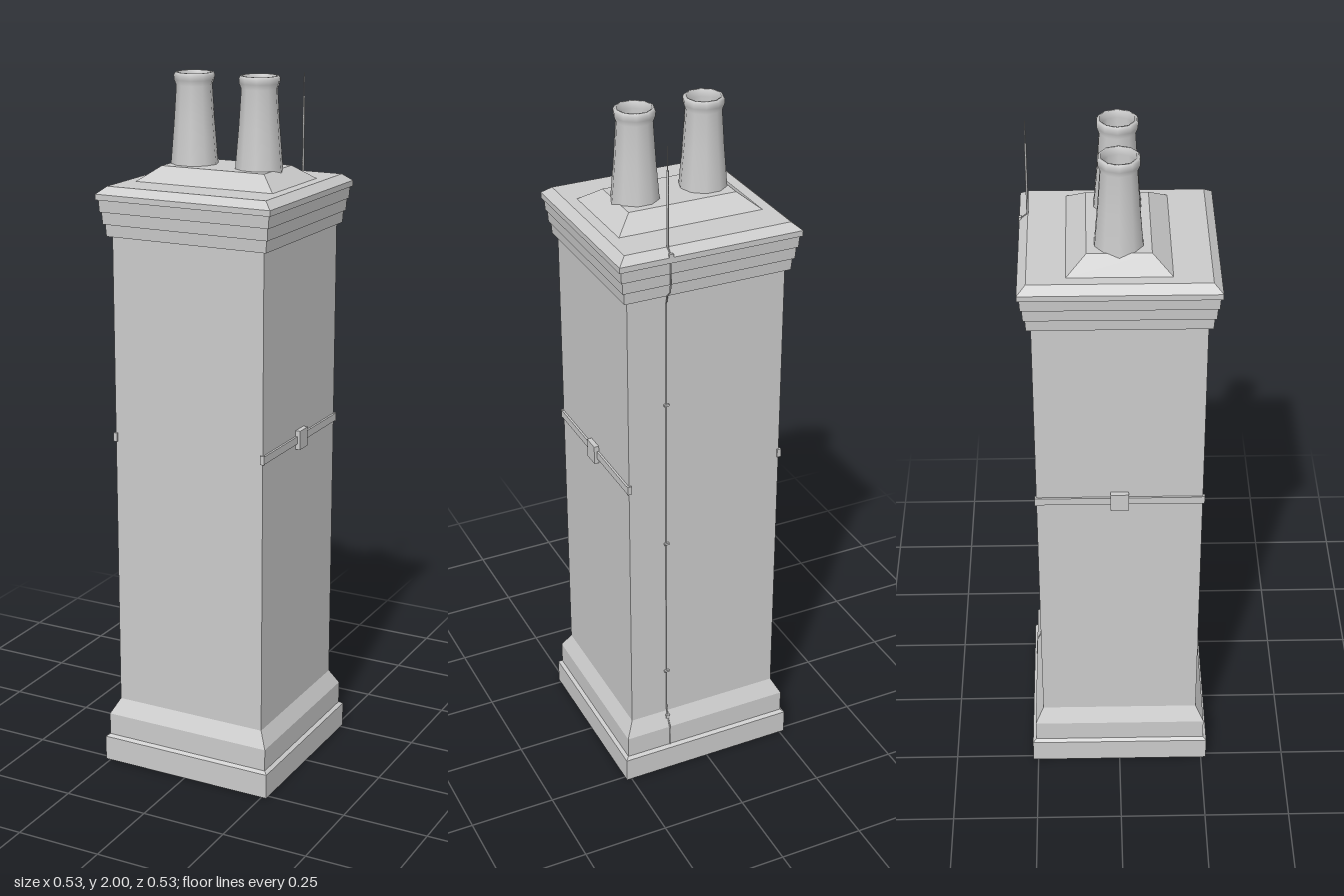
import * as THREE from 'three';

const stone = new THREE.MeshStandardMaterial({ color: 0xcccccc, flatShading: true, side: THREE.DoubleSide });
const clay = new THREE.MeshStandardMaterial({ color: 0xcccccc, side: THREE.DoubleSide });

const vectors = (pts) => pts.map(([r, y]) => new THREE.Vector2(r, y));

// Square shell from a [half width, y] profile
function squareShell(name, profile) {
  const pts = vectors(profile.map(([h, y]) => [h * Math.SQRT2, y]));
  const geo = new THREE.LatheGeometry(pts, 4).rotateY(Math.PI / 4).toNonIndexed();
  geo.computeVertexNormals();
  const mesh = new THREE.Mesh(geo, stone);
  mesh.name = name;
  return mesh;
}

function box(name, w, h, d, x, y, z) {
  const mesh = new THREE.Mesh(new THREE.BoxGeometry(w, h, d), stone);
  mesh.name = name;
  mesh.position.set(x, y, z);
  return mesh;
}

function rod(name, path, radius) {
  const curve = new THREE.CurvePath();
  const pts = path.map((p) => new THREE.Vector3(...p));
  for (let i = 1; i < pts.length; i++) curve.add(new THREE.LineCurve3(pts[i - 1], pts[i]));
  const mesh = new THREE.Mesh(new THREE.TubeGeometry(curve, 48, radius, 6), clay);
  mesh.name = name;
  return mesh;
}

export function createModel() {
  const model = new THREE.Group();
  model.name = 'chimney';

  // Hollow base, shaft and stepped cornice
  model.add(squareShell('base', [
    [0.265, 0], [0.265, 0.073], [0.255, 0.08], [0.255, 0.145], [0.231, 0.19],
  ]));
  model.add(squareShell('shaft', [[0.231, 0.19], [0.231, 1.572]]));
  model.add(squareShell('cornice', [
    [0.231, 1.572], [0.243, 1.572], [0.245, 1.606], [0.25, 1.606], [0.252, 1.64],
    [0.256, 1.64], [0.258, 1.674], [0.264, 1.674], [0.264, 1.69], [0.24, 1.71], [0, 1.71],
  ]));

  // Sloped plinth under the pots
  const plinth = box('plinth', 0.418, 0.04, 0.276, 0, 1.73, 0);
  const pos = plinth.geometry.attributes.position;
  for (let i = 0; i < pos.count; i++) {
    if (pos.getY(i) > 0) {
      pos.setX(i, Math.sign(pos.getX(i)) * 0.157);
      pos.setZ(i, Math.sign(pos.getZ(i)) * 0.085);
    }
  }
  plinth.geometry.computeVertexNormals();
  model.add(plinth);

  // Ten-sided open pots
  const potProfile = vectors([
    [0.07, 1.73], [0.066, 1.755], [0.057, 1.86], [0.05, 1.965], [0.056, 1.98],
    [0.057, 1.993], [0.053, 2], [0.047, 2], [0.044, 1.98], [0.044, 1.76], [0, 1.76],
  ]);
  for (const side of [-1, 1]) {
    const pot = new THREE.Mesh(new THREE.LatheGeometry(potProfile, 10).rotateY(Math.PI / 2), clay);
    pot.name = 'pot';
    pot.position.x = side * 0.1;
    model.add(pot);

    // Side strap with centre plate and end nubs
    model.add(box('strap', 0.008, 0.022, 0.464, side * 0.233, 0.998, 0));
    model.add(box('strapPlate', 0.016, 0.055, 0.05, side * 0.237, 0.998, 0));
    for (const end of [-1, 1]) {
      model.add(box('strapEnd', 0.012, 0.025, 0.008, side * 0.231, 0.998, end * 0.232));
    }
  }

  // Lightning rod, its conductor down the back, and clips
  const x = 0.119;
  model.add(rod('lightningRod', [[x, 1.7, -0.241], [x, 1.92, -0.241]], 0.003));
  model.add(rod('lightningRodTip', [[x, 1.92, -0.241], [x, 1.985, -0.241]], 0.0015));
  model.add(rod('conductor', [
    [x, 1.71, -0.241], [x, 1.71, -0.262], [x, 1.57, -0.257], [x, 1.57, -0.232],
    [x, 0.19, -0.232], [x, 0.145, -0.256], [x, 0.08, -0.256],
  ], 0.002));
  for (const y of [0.34, 0.79, 1.24]) model.add(box('clip', 0.014, 0.006, 0.008, x, y, -0.233));
  model.add(box('corniceClip', 0.012, 0.02, 0.008, x, 1.69, -0.262));
  model.add(box('baseClip', 0.012, 0.012, 0.008, x, 0.175, -0.24));

  return model;
}
